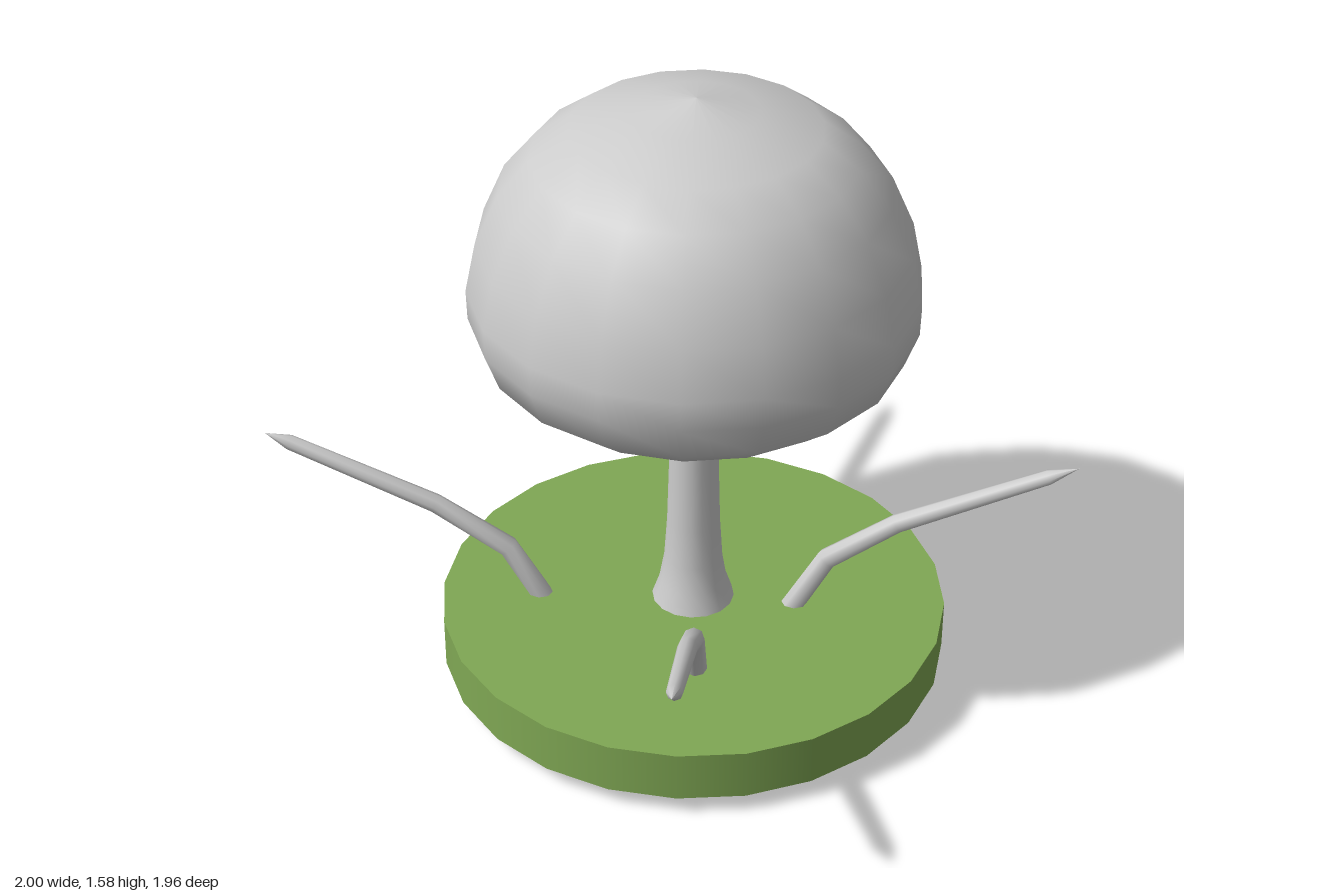
import * as THREE from 'three';
import { toCreasedNormals } from 'three/addons/utils/BufferGeometryUtils.js';

const CX = 0.065, CZ = -0.04; // axis of trunk, canopy and base

// Round limb with a radius at every path point; radius 0 closes an end
function limbGeometry(points, radii, sides = 8) {
  const path = points.map(p => new THREE.Vector3(...p));
  const pos = [], index = [];
  const along = path[path.length - 1].clone().sub(path[0]);
  const side = new THREE.Vector3(0, 1, 0).cross(along).normalize();
  path.forEach((p, i) => {
    const before = path[Math.max(i - 1, 0)], after = path[Math.min(i + 1, path.length - 1)];
    const d0 = p.clone().sub(before).normalize(), d1 = after.clone().sub(p).normalize();
    const n = d0.add(d1).normalize().cross(side).normalize();
    for (let j = 0; j < sides; j++) {
      const a = (j / sides) * Math.PI * 2;
      const v = p.clone().addScaledVector(side, radii[i] * Math.cos(a)).addScaledVector(n, radii[i] * Math.sin(a));
      pos.push(v.x, v.y, v.z);
    }
  });
  for (let i = 0; i < path.length - 1; i++) {
    for (let j = 0; j < sides; j++) {
      const k = (j + 1) % sides, a = i * sides, b = a + sides;
      if (radii[i] > 0) index.push(a + j, a + k, b + k);
      if (radii[i + 1] > 0) index.push(a + j, b + k, b + j);
    }
  }
  // flat cap at the base
  for (let j = 1; j < sides - 1; j++) index.push(0, j + 1, j);
  const g = new THREE.BufferGeometry();
  g.setAttribute('position', new THREE.Float32BufferAttribute(pos, 3));
  g.setIndex(index);
  return toCreasedNormals(g, 0.9);
}

export function createModel() {
  const model = new THREE.Group();
  const grey = new THREE.MeshStandardMaterial({ color: 0xcccccc });
  const green = new THREE.MeshStandardMaterial({ color: 0x80a854 });
  const add = (name, geometry, material, x = 0, y = 0, z = 0) => {
    const mesh = new THREE.Mesh(geometry, material);
    mesh.name = name;
    mesh.position.set(x, y, z);
    model.add(mesh);
  };
  const lathe = (profile, sides) =>
    new THREE.LatheGeometry(profile.map(p => new THREE.Vector2(...p)), sides);

  // Grass disc
  add('grassBase', new THREE.CylinderGeometry(0.635, 0.635, 0.13, 24), green, CX, 0.12, CZ);

  // Trunk with flared foot
  add('trunk', lathe([[0.11, 0.16], [0.102, 0.19], [0.085, 0.24], [0.073, 0.31], [0.066, 0.42],
    [0.061, 0.6], [0.057, 0.9]], 16), grey, CX, 0, CZ);

  // Canopy, hollowed slightly around the trunk
  add('canopy', lathe([[0, 0.88], [0.05, 0.86], [0.09, 0.825], [0.21, 0.83], [0.425, 0.88], [0.505, 0.945],
    [0.538, 1.035], [0.54, 1.11], [0.515, 1.23], [0.46, 1.355], [0.385, 1.445], [0.295, 1.51],
    [0.15, 1.552], [0, 1.585]], 18), grey, CX, 0, CZ);

  // Twig and its fruit
  add('twig', limbGeometry([[0.07, 0.665, -0.03], [0.12, 0.69, -0.015], [0.18, 0.715, 0.01], [0.25, 0.748, 0.035]],
    [0.022, 0.02, 0.015, 0.011]), grey);
  add('fruit', new THREE.SphereGeometry(0.045, 16, 12), grey, 0.255, 0.75, 0.035);

  // Four bent, pointed shoots around the trunk
  const shootRadii = [0.029, 0.028, 0.027, 0.024, 0.019, 0];
  const shoots = {
    rightShoot: [[-0.235, 0.02, -0.02], [-0.325, 0.19, -0.02], [-0.4, 0.32, -0.022], [-0.58, 0.44, -0.028],
      [-0.94, 0.597, -0.043], [-1, 0.62, -0.045]],
    leftShoot: [[0.235, 0.035, -0.02], [0.325, 0.19, -0.02], [0.4, 0.325, -0.02], [0.57, 0.445, -0.015],
      [0.93, 0.607, -0.007], [1, 0.637, -0.004]],
    frontShoot: [[0.09, 0.055, 0.19], [0.09, 0.19, 0.265], [0.09, 0.36, 0.37], [0.088, 0.487, 0.565],
      [0.082, 0.645, 0.92], [0.08, 0.675, 0.98]],
    backShoot: [[0.075, 0.055, -0.225], [0.077, 0.19, -0.305], [0.08, 0.335, -0.395], [0.084, 0.462, -0.57],
      [0.09, 0.627, -0.92], [0.092, 0.657, -0.98]],
  };
  for (const [name, points] of Object.entries(shoots)) add(name, limbGeometry(points, shootRadii), grey);

  return model;
}
